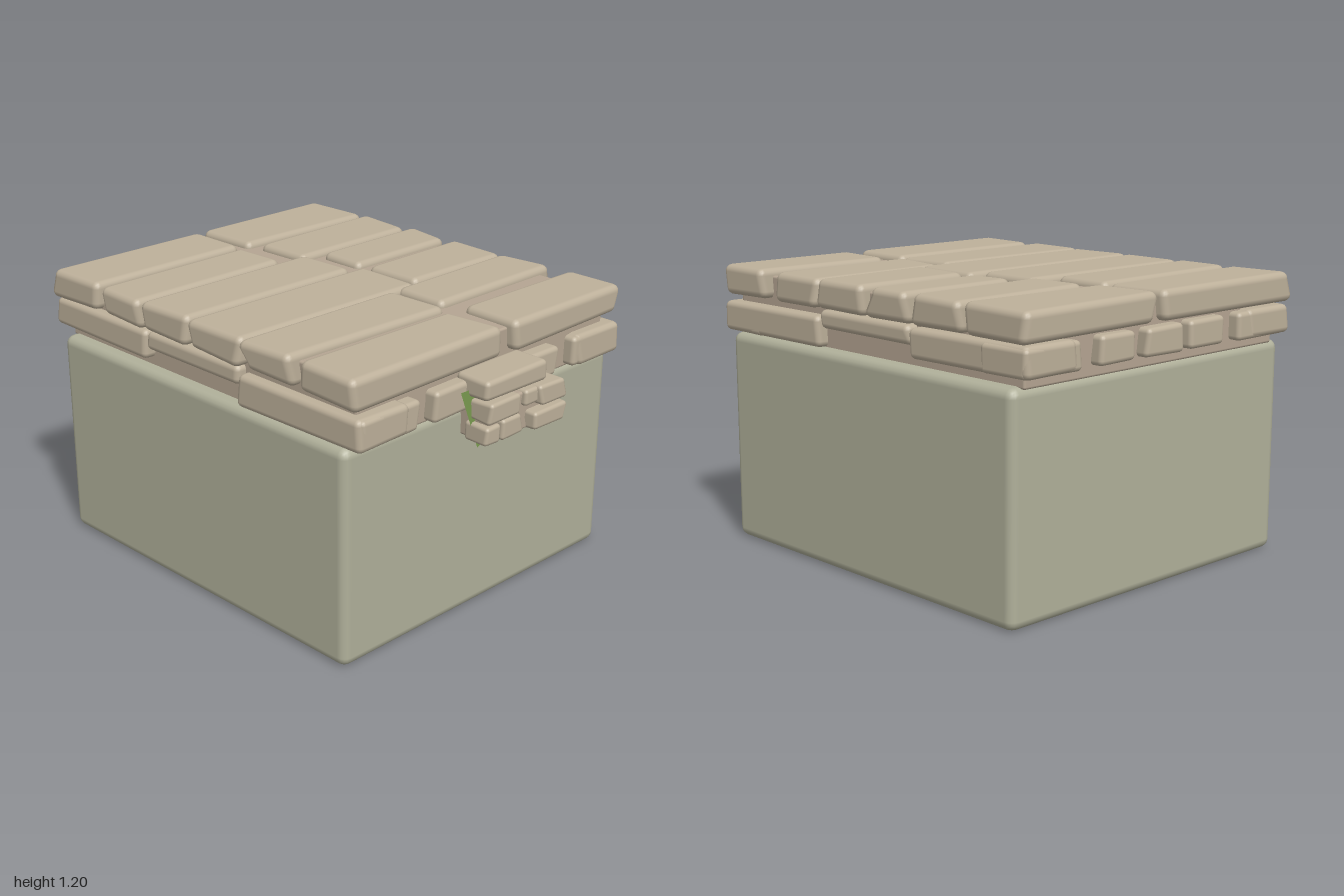
import * as THREE from 'three';
import { RoundedBoxGeometry } from 'three/addons/geometries/RoundedBoxGeometry.js';

const bodyMat = new THREE.MeshStandardMaterial({ color: 0xb0b09a });
const stoneMat = new THREE.MeshStandardMaterial({ color: 0xbdb09a });
const mortarMat = new THREE.MeshStandardMaterial({ color: 0xb5a592 });
const leafMat = new THREE.MeshStandardMaterial({ color: 0x7a9a50, side: THREE.DoubleSide });

let seed = 7;
function rand() {
  seed = (seed * 16807) % 2147483647;
  return seed / 2147483647 - 0.5;
}

// Block given by its extents; wobble shifts each of the eight corners a little
function block(name, [x0, x1], [y0, y1], [z0, z1], mat, radius = 0.025, wobble = 0) {
  const w = x1 - x0, h = y1 - y0, d = z1 - z0;
  const geo = new RoundedBoxGeometry(w, h, d, 2, radius);
  if (wobble) {
    const shift = Array.from({ length: 8 }, () => [rand() * wobble, rand() * wobble * 0.2, rand() * wobble]);
    const p = geo.attributes.position;
    for (let i = 0; i < p.count; i++) {
      const v = [p.getX(i), p.getY(i), p.getZ(i)];
      const s = shift[(v[0] > 0 ? 1 : 0) + (v[1] > 0 ? 2 : 0) + (v[2] > 0 ? 4 : 0)];
      p.setXYZ(i, v[0] + s[0], v[1] + s[1], v[2] + s[2]);
    }
  }
  const mesh = new THREE.Mesh(geo, mat);
  mesh.name = name;
  mesh.position.set((x0 + x1) / 2, (y0 + y1) / 2, (z0 + z1) / 2);
  return mesh;
}

export function createModel() {
  seed = 7;
  const model = new THREE.Group();
  model.name = 'stoneToppedBlock';

  // Plain bevelled body
  model.add(block('body', [-0.78, 0.78], [0, 0.91], [-0.93, 0.8], bodyMat, 0.04));

  // Mortar core seen in the gaps between stones
  model.add(block('mortarCore', [-0.72, 0.72], [0.9, 1.165], [-0.93, 0.8], mortarMat, 0.01));

  // Upper course: two columns of slabs [inner x, back z, front z]
  const upper = new THREE.Group();
  upper.name = 'upperStones';
  const leftColumn = [
    [0.02, -0.98, -0.69], [0.01, -0.65, -0.39], [0.14, -0.38, -0.1],
    [0.19, -0.09, 0.23], [0.06, 0.24, 0.51], [0.03, 0.56, 0.855],
  ];
  const rightColumn = [
    [0.06, -0.99, -0.67], [0.1, -0.64, -0.37], [0.22, -0.35, -0.11],
    [0.22, -0.08, 0.21], [0.08, 0.22, 0.47], [0.11, 0.56, 0.84],
  ];
  leftColumn.forEach(([x, z0, z1]) =>
    upper.add(block('slab', [-0.775, x], [1.07, 1.195], [z0, z1], stoneMat, 0.03, 0.025)));
  rightColumn.forEach(([x, z0, z1]) =>
    upper.add(block('slab', [x, 0.775], [1.07, 1.195], [z0, z1], stoneMat, 0.03, 0.025)));
  model.add(upper);

  // Lower course: short stones at front and back, long ones along both sides
  const lower = new THREE.Group();
  lower.name = 'lowerStones';
  [[-0.75, -0.44], [-0.36, -0.14], [-0.1, 0.12], [0.17, 0.37], [0.47, 0.77]].forEach((x) => {
    lower.add(block('frontStone', x, [0.91, 1.035], [0.6, 0.855], stoneMat, 0.02, 0.015));
    lower.add(block('backStone', x, [0.945, 1.06], [-0.98, -0.75], stoneMat, 0.02, 0.015));
  });
  for (const s of [-1, 1]) {
    const x = [s * 0.5, s * 0.77].sort((a, b) => a - b);
    lower.add(block('sideStone', x, [0.91, 1.04], [0.2, 0.86], stoneMat, 0.025, 0.015));
    lower.add(block('sideStone', x, [0.99, 1.07], [-0.36, 0.2], stoneMat, 0.025, 0.015));
    lower.add(block('sideStone', x, [0.945, 1.065], [-0.99, -0.36], stoneMat, 0.025, 0.015));
  }
  model.add(lower);

  // Small stack of stones hanging on the front
  const ornament = new THREE.Group();
  ornament.name = 'frontOrnament';
  ornament.add(block('ornamentCore', [-0.15, 0.24], [0.79, 0.95], [0.78, 0.94], mortarMat, 0.01));
  ornament.add(block('ornamentCap', [-0.19, 0.175], [0.975, 1.06], [0.8, 0.96], stoneMat, 0.02, 0.015));
  for (const [x, y, z] of [
    [[-0.175, 0.005], [0.88, 0.965], 0.97], [[0.04, 0.13], [0.895, 0.96], 0.96], [[0.11, 0.26], [0.885, 0.965], 0.985],
    [[-0.175, -0.09], [0.79, 0.865], 0.955], [[-0.1, 0.02], [0.8, 0.88], 0.97], [[0.07, 0.26], [0.79, 0.87], 0.99],
  ]) {
    ornament.add(block('ornamentStone', x, y, [0.84, z], stoneMat, 0.015, 0.015));
  }
  model.add(ornament);

  // Flat green leaf behind the ornament
  const leaf = new THREE.Shape([[-0.235, 1.005], [-0.13, 0.75], [0.02, 0.8], [0.2, 0.9], [0.245, 1.0]]
    .map(([x, y]) => new THREE.Vector2(x, y)));
  const leafMesh = new THREE.Mesh(new THREE.ShapeGeometry(leaf), leafMat);
  leafMesh.name = 'leaf';
  leafMesh.position.z = 0.87;
  model.add(leafMesh);

  return model;
}
